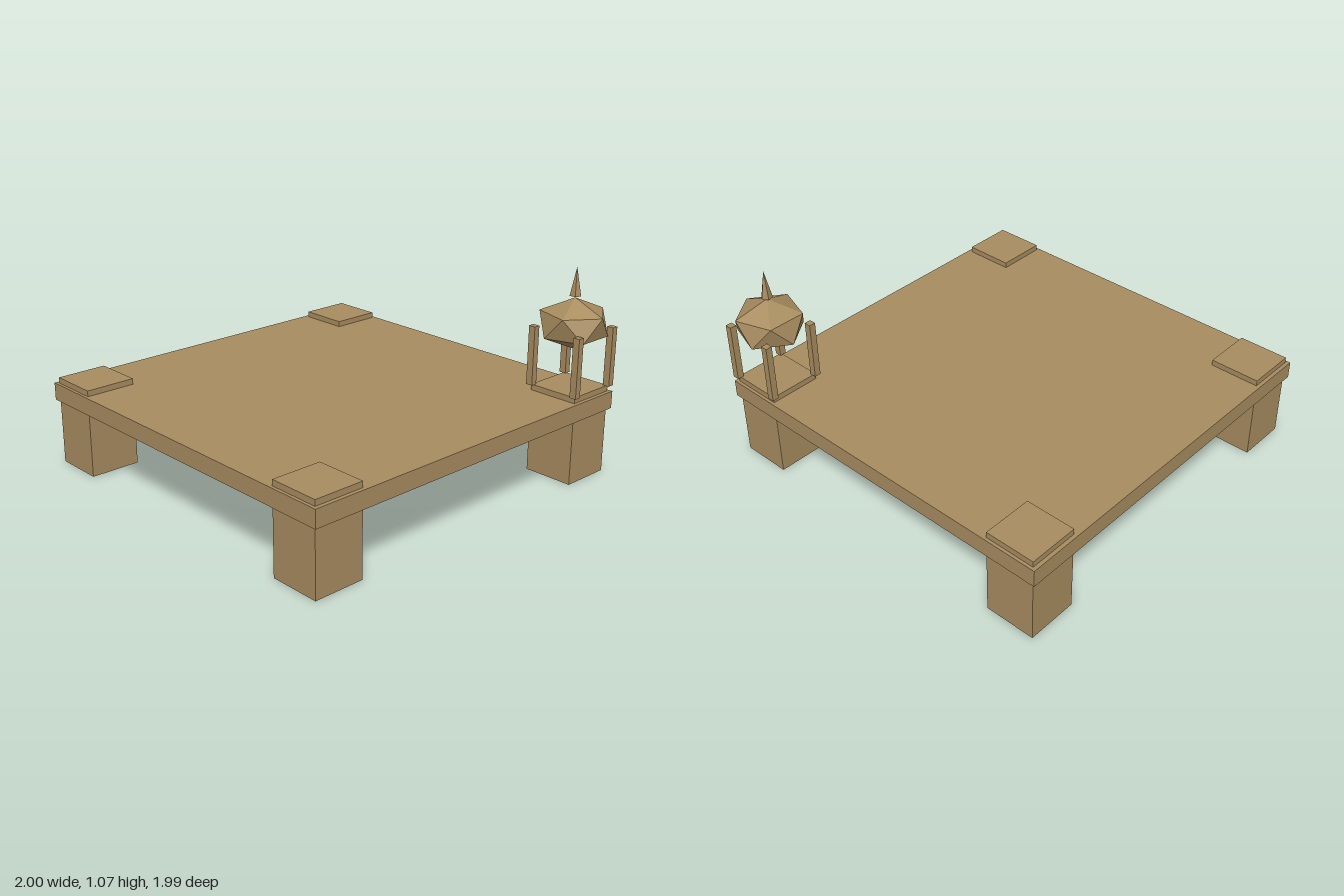
import * as THREE from 'three';

export function createModel() {
  const model = new THREE.Group();
  const stone = new THREE.MeshStandardMaterial({ color: 0xa88c5f, flatShading: true });
  stone.name = 'sandstone';

  const add = (name, geometry, x, y, z) => {
    const mesh = new THREE.Mesh(geometry, stone);
    mesh.name = name;
    mesh.position.set(x, y, z);
    model.add(mesh);
    return mesh;
  };
  // Box given by its centre in plan and its bottom and top heights
  const block = (name, w, d, y0, y1, x, z) =>
    add(name, new THREE.BoxGeometry(w, y1 - y0, d), x, (y0 + y1) / 2, z);

  // Platform slab and the stepped tiers hanging under it
  const cx = -0.01, cz = 0.007;
  block('platform', 1.98, 1.98, 0.34, 0.43, cx, cz);
  [[1.64, 0.25, 0.34], [1.295, 0.155, 0.25], [0.955, 0.063, 0.155]].forEach(([size, y0, y1], i) =>
    block(`underTier${i + 1}`, size, size, y0, y1, cx, cz));

  // Corner legs, rising slightly through the platform
  for (const sx of [-1, 1])
    for (const sz of [-1, 1])
      block('leg', 0.266, 0.266, 0, 0.46, cx + sx * 0.837, cz + sz * 0.841);

  // Turret posts on the back left corner
  const tx = 0.826, tz = -0.835;
  for (const sx of [-1, 1])
    for (const sz of [-1, 1])
      block('turretPost', 0.036, 0.034, 0.46, 0.765, tx + sx * 0.134, tz + sz * 0.134);

  // Flattened faceted dome, one corner pointing up
  const dome = new THREE.IcosahedronGeometry(1, 0);
  dome.rotateZ(-Math.atan(2 / (1 + Math.sqrt(5))));
  dome.scale(0.188, 0.13, 0.188);
  add('turretDome', dome, tx + 0.001, 0.781, tz);

  // Finial spike above the dome
  const spike = add('finial', new THREE.ConeGeometry(0.029, 0.145, 5), tx + 0.001, 0.9925, tz);
  spike.rotation.y = Math.PI;

  return model;
}
